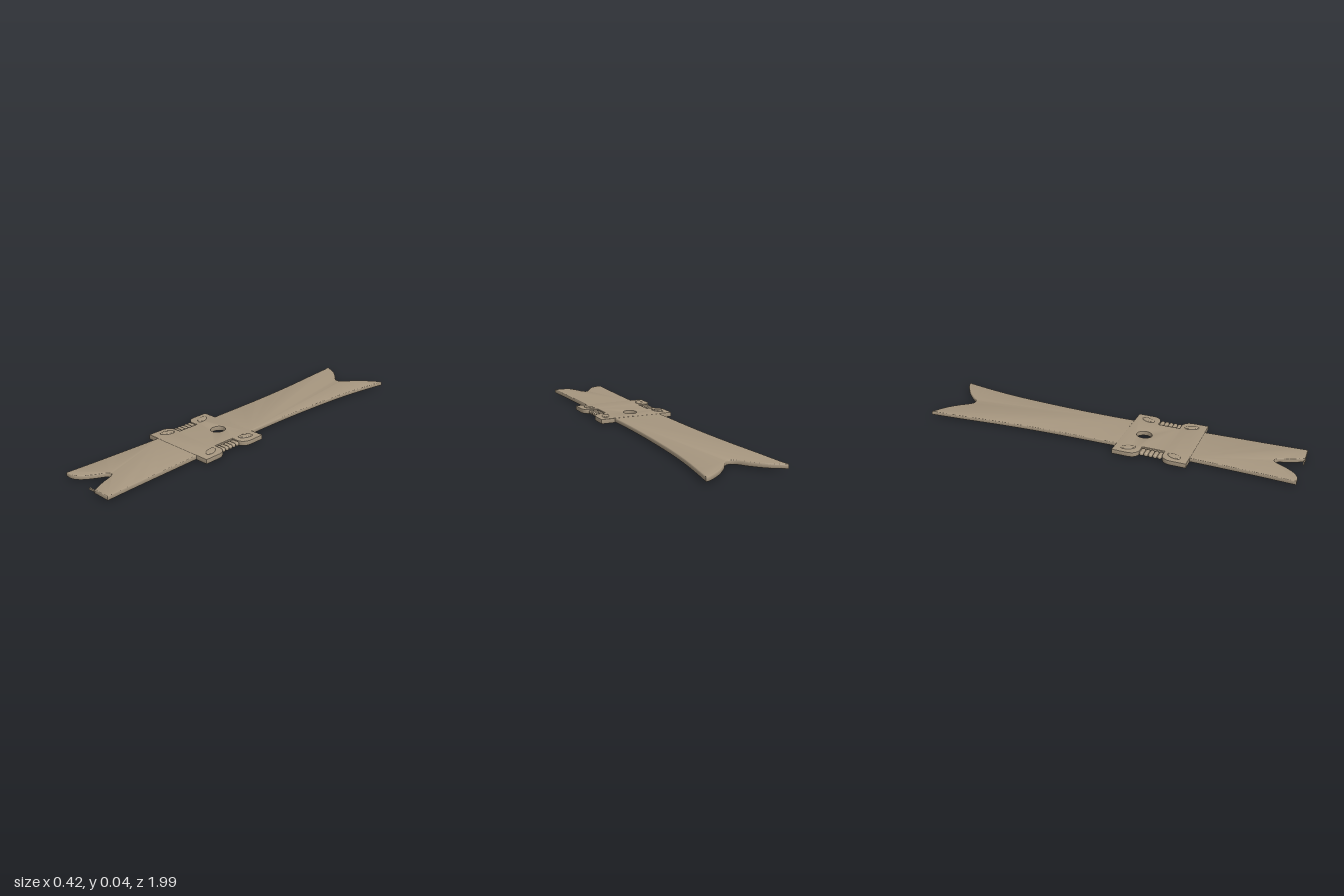
import * as THREE from 'three';
import { toCreasedNormals } from 'three/addons/utils/BufferGeometryUtils.js';

const tan = new THREE.MeshStandardMaterial({ color: 0xa6967f });
tan.name = 'tan';

const toV = ([x, z]) => new THREE.Vector2(x, -z);

// Extrudes a plan outline (x, z) upwards between two heights with softened edges
function slab(name, shape, y0, y1, bevel, inset = bevel) {
  const geo = new THREE.ExtrudeGeometry(shape, {
    depth: y1 - y0 - 2 * bevel, bevelEnabled: true, bevelThickness: bevel,
    bevelSize: inset, bevelOffset: -inset, bevelSegments: 3, curveSegments: 20,
  });
  geo.rotateX(-Math.PI / 2);
  geo.translate(0, y0 + bevel, 0);
  const mesh = new THREE.Mesh(toCreasedNormals(geo, 0.6), tan);
  mesh.name = name;
  return mesh;
}

// Each run of points is a smooth curve; runs join at sharp corners
function outline(runs) {
  const s = new THREE.Shape();
  runs.forEach((run, i) => {
    const pts = run.map(toV);
    if (i === 0) s.moveTo(pts[0].x, pts[0].y);
    if (pts.length > 2) s.splineThru(pts.slice(1));
    else s.lineTo(pts[1].x, pts[1].y);
  });
  return s;
}

export function createModel() {
  const model = new THREE.Group();
  model.name = 'ribbonWithClasp';

  // Long flared strap with a swallowtail end
  model.add(slab('backStrap', outline([
    [[0.127, 0.09], [0.125, 0], [0.127, -0.2], [0.135, -0.4], [0.15, -0.62], [0.172, -0.8], [0.207, -1]],
    [[0.207, -1], [0.175, -0.99], [0.11, -0.945], [0.055, -0.89], [0.022, -0.85], [-0.004, -0.84],
      [-0.03, -0.855], [-0.065, -0.9], [-0.12, -0.955], [-0.192, -1]],
    [[-0.192, -1], [-0.177, -0.8], [-0.16, -0.6], [-0.148, -0.4], [-0.142, -0.2], [-0.14, 0], [-0.138, 0.09]],
    [[-0.138, 0.09], [0.127, 0.09]],
  ]), 0.008, 0.031, 0.006));

  // Short strap with a notched end
  model.add(slab('frontStrap', outline([
    [[-0.147, 0.44], [-0.15, 0.6], [-0.156, 0.8], [-0.164, 0.98]],
    [[-0.164, 0.98], [-0.125, 0.978], [-0.088, 0.955], [-0.055, 0.91], [-0.03, 0.865], [-0.01, 0.848],
      [0.01, 0.868], [0.028, 0.92], [0.06, 0.988]],
    [[0.06, 0.988], [0.15, 0.988]],
    [[0.15, 0.988], [0.143, 0.8], [0.138, 0.6], [0.134, 0.44]],
    [[0.134, 0.44], [-0.147, 0.44]],
  ]), 0.008, 0.031, 0.005));

  // Small barb at the notch
  const barb = new THREE.Mesh(new THREE.BoxGeometry(0.045, 0.009, 0.006), tan);
  barb.name = 'barb';
  barb.position.set(0.041, 0.019, 0.985);
  const spike = new THREE.Mesh(new THREE.ConeGeometry(0.004, 0.02, 6), tan);
  spike.name = 'barbSpike';
  spike.position.set(0.06, 0.013, 0.988);
  spike.rotation.x = Math.PI;
  model.add(barb, spike);

  // Clasp: two rounded brackets joined by a narrower waist, pierced by a hole
  const clasp = new THREE.Shape();
  const line = (x, z) => clasp.lineTo(x, -z);
  const curve = (cx, cz, x, z) => clasp.quadraticCurveTo(cx, -cz, x, -z);
  clasp.moveTo(-0.21, -0.075);
  line(-0.21, 0.16); curve(-0.207, 0.205, -0.165, 0.21);
  line(-0.132, 0.21); line(-0.132, 0.328);
  line(-0.165, 0.328); curve(-0.207, 0.333, -0.21, 0.378);
  line(-0.21, 0.462); line(0.203, 0.462);
  line(0.203, 0.378); curve(0.2, 0.333, 0.158, 0.328);
  line(0.124, 0.328); line(0.124, 0.21);
  line(0.158, 0.21); curve(0.2, 0.205, 0.203, 0.16);
  line(0.203, 0.075); line(-0.21, 0.075);
  const hole = new THREE.Path();
  hole.absellipse(-0.008, -0.178, 0.035, 0.041, 0, Math.PI * 2, true);
  clasp.holes.push(hole);
  model.add(slab('clasp', clasp, 0.007, 0.032, 0.002));

  for (const side of [-1, 1]) {
    const cx = side * 0.156 - 0.004;

    // Ribbed grips on the waist
    for (let i = 0; i < 5; i++) {
      const rib = new THREE.Mesh(new THREE.CapsuleGeometry(0.012, 0.028, 6, 14), tan);
      rib.name = 'gripRib';
      rib.rotation.z = Math.PI / 2;
      rib.position.set(cx, 0.0195, 0.222 + i * 0.0235);
      model.add(rib);
    }

    // Tilted oval studs through the brackets
    for (const [z, lean] of [[0.145, -1], [0.386, 1]]) {
      const oval = new THREE.Shape();
      oval.absellipse(0, 0, 0.02, 0.038, 0, Math.PI * 2);
      const stud = slab('ovalStud', oval, 0, 0.036, 0.005);
      stud.position.set(cx, 0, z);
      stud.rotation.y = side * lean * 0.4;
      model.add(stud);
    }
  }
  return model;
}
